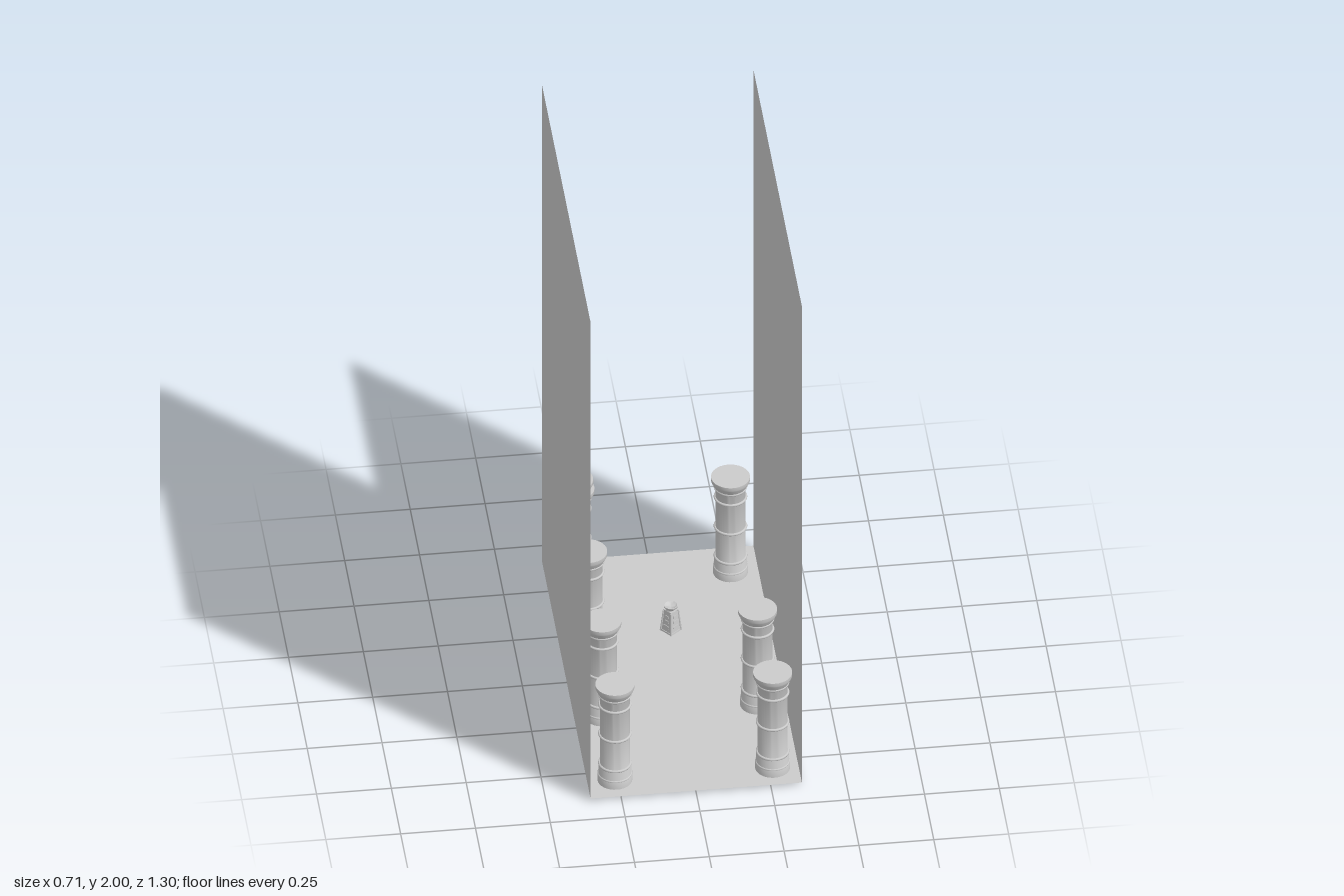
import * as THREE from 'three';
import { toCreasedNormals } from 'three/addons/utils/BufferGeometryUtils.js';

const mat = new THREE.MeshStandardMaterial({ color: 0xcccccc });
const sheetMat = new THREE.MeshStandardMaterial({ color: 0xcccccc, side: THREE.DoubleSide });

const WIDTH = 0.706, DEPTH = 1.3, FLOOR_Y = 0.01, HEIGHT = 2;

function add(parent, name, geometry, material = mat) {
  const mesh = new THREE.Mesh(geometry, material);
  mesh.name = name;
  parent.add(mesh);
  return mesh;
}

// Turned solid from [radius, y] pairs, with crisp edges
function turned(profile, sides = 32) {
  const points = profile.map(([r, y]) => new THREE.Vector2(r, y));
  return toCreasedNormals(new THREE.LatheGeometry(points, sides), 0.6);
}

const columnGeometry = turned([
  [0, 0], [0.058, 0], [0.058, 0.036], [0.055, 0.042], [0.055, 0.074], [0.05, 0.084],
  [0.05, 0.365], [0.053, 0.37], [0.063, 0.39], [0.065, 0.395], [0.065, 0.408], [0, 0.408],
]);
const ringGeometry = new THREE.TorusGeometry(0.051, 0.005, 8, 32).rotateX(Math.PI / 2);

function createColumn(x, y, z) {
  const column = new THREE.Group();
  column.name = 'column';
  add(column, 'columnShaft', columnGeometry);
  // Raised bands around the shaft
  for (const h of [0.08, 0.203, 0.325, 0.368]) add(column, 'columnRing', ringGeometry).position.y = h;
  add(column, 'baseRing', ringGeometry).position.y = 0.039;
  column.children.at(-1).scale.set(1.04, 1, 1.04);
  column.position.set(x, y, z);
  return column;
}

// Four-sided tapered block; widths are across the flats
function taperedBlock(topWidth, bottomWidth, height) {
  const g = new THREE.CylinderGeometry(topWidth / Math.SQRT2, bottomWidth / Math.SQRT2, height, 4);
  g.rotateY(Math.PI / 4).translate(0, height / 2, 0);
  return toCreasedNormals(g, 0.5);
}

function createPedestal() {
  const pedestal = new THREE.Group();
  pedestal.name = 'pedestal';
  add(pedestal, 'pedestalFoot', taperedBlock(0.05, 0.053, 0.016));
  add(pedestal, 'pedestalBody', taperedBlock(0.034, 0.049, 0.096));
  // Sloping corner ribs and small relief panels on each face
  for (let i = 0; i < 4; i++) {
    const side = new THREE.Group();
    side.name = 'pedestalSide';
    side.rotation.y = i * Math.PI / 2;
    for (const [y, w] of [[0.035, 0.022], [0.055, 0.018], [0.074, 0.014]]) {
      const panel = add(side, 'reliefPanel', new THREE.BoxGeometry(w, 0.009, 0.004));
      panel.position.set(0, y, 0.0245 - y * 0.078);
      panel.rotation.x = -0.078;
    }
    const rib = add(side, 'cornerRib', new THREE.CylinderGeometry(0.003, 0.004, 0.09, 6));
    rib.position.set(0.0205, 0.048, 0.0205);
    rib.rotation.set(-0.08, 0, 0.08);
    pedestal.add(side);
  }
  // Shallow bowl on a short neck
  add(pedestal, 'bowl', turned([
    [0, 0.094], [0.018, 0.094], [0.016, 0.1], [0.023, 0.108], [0.024, 0.114],
    [0.021, 0.114], [0.014, 0.109], [0, 0.106],
  ], 24));
  pedestal.position.set(0.025, 0, -0.23);
  pedestal.rotation.y = 0.68;
  return pedestal;
}

export function createModel() {
  const model = new THREE.Group();
  model.name = 'columnHall';

  // Floor and the two tall side walls
  const floor = add(model, 'floor', new THREE.PlaneGeometry(WIDTH, DEPTH).rotateX(-Math.PI / 2), sheetMat);
  floor.position.y = FLOOR_Y;
  for (const side of [-1, 1]) {
    const g = new THREE.PlaneGeometry(DEPTH, HEIGHT - FLOOR_Y).rotateY(-side * Math.PI / 2);
    const wall = add(model, side > 0 ? 'leftWall' : 'rightWall', g, sheetMat);
    wall.position.set(side * WIDTH / 2, (HEIGHT + FLOOR_Y) / 2, 0);
  }

  // Columns along both walls; the back right one carries a raised second column
  const spots = [
    [-0.26, 0, 0.555], [-0.26, 0, 0.207], [-0.26, 0, -0.174], [-0.26, 0, -0.519],
    [0.267, 0, 0.555], [0.26, 0, 0.207], [0.26, 0, -0.519],
    [-0.264, 0.04, -0.517],
  ];
  for (const spot of spots) model.add(createColumn(...spot));

  model.add(createPedestal());
  return model;
}
